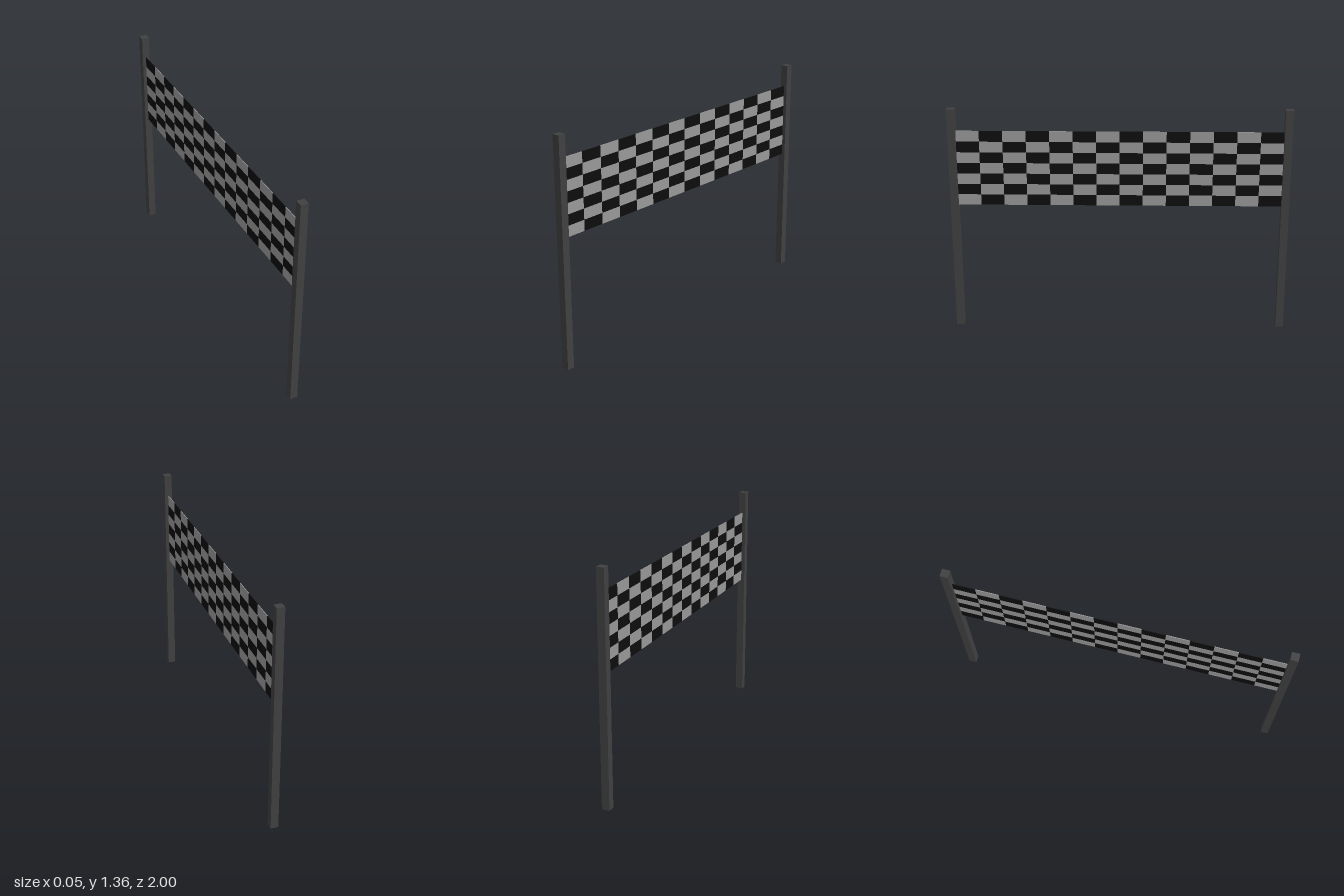
import * as THREE from 'three';

const POST = 0.046, HEIGHT = 1.36;
const ROWS = 7, COLS = 14;
const BANNER = { thick: 0.004, height: 0.453, length: 2 - 2 * POST + 0.004, y: 1.0 };

// Splits a gridded thin box into its light or dark checks.
function checkGeometry(dark) {
  const { thick, height, length } = BANNER;
  const geo = new THREE.BoxGeometry(thick, height, length, 1, ROWS, COLS);
  const pos = geo.attributes.position;
  const src = geo.index.array;
  const kept = [];
  for (let i = 0; i < src.length; i += 3) {
    const tri = [src[i], src[i + 1], src[i + 2]];
    const y = tri.reduce((s, v) => s + pos.getY(v), 0) / 3;
    const z = tri.reduce((s, v) => s + pos.getZ(v), 0) / 3;
    // rows count down from the top, columns from the +z end
    const row = Math.min(ROWS - 1, Math.floor((0.5 - y / height) * ROWS + 1e-4));
    const col = Math.min(COLS - 1, Math.floor((0.5 - z / length) * COLS + 1e-4));
    if (((row + col) % 2 === 1) === dark) kept.push(...tri);
  }
  geo.setIndex(kept);
  geo.clearGroups();
  return geo;
}

export function createModel() {
  const group = new THREE.Group();
  group.name = 'checkeredBannerGate';

  // Square posts at both ends
  const postMat = new THREE.MeshStandardMaterial({ color: 0x404041 });
  for (const side of [1, -1]) {
    const post = new THREE.Mesh(new THREE.BoxGeometry(POST, HEIGHT, POST), postMat);
    post.name = side > 0 ? 'frontPost' : 'backPost';
    post.position.set(0, HEIGHT / 2, side * (1 - POST / 2));
    group.add(post);
  }

  // Checkered banner stretched between the posts
  const banner = new THREE.Group();
  banner.name = 'banner';
  banner.position.y = BANNER.y;
  for (const dark of [false, true]) {
    const mat = new THREE.MeshStandardMaterial({ color: dark ? 0x0d0d0d : 0x999999 });
    const checks = new THREE.Mesh(checkGeometry(dark), mat);
    checks.name = dark ? 'darkChecks' : 'lightChecks';
    banner.add(checks);
  }
  group.add(banner);

  return group;
}
